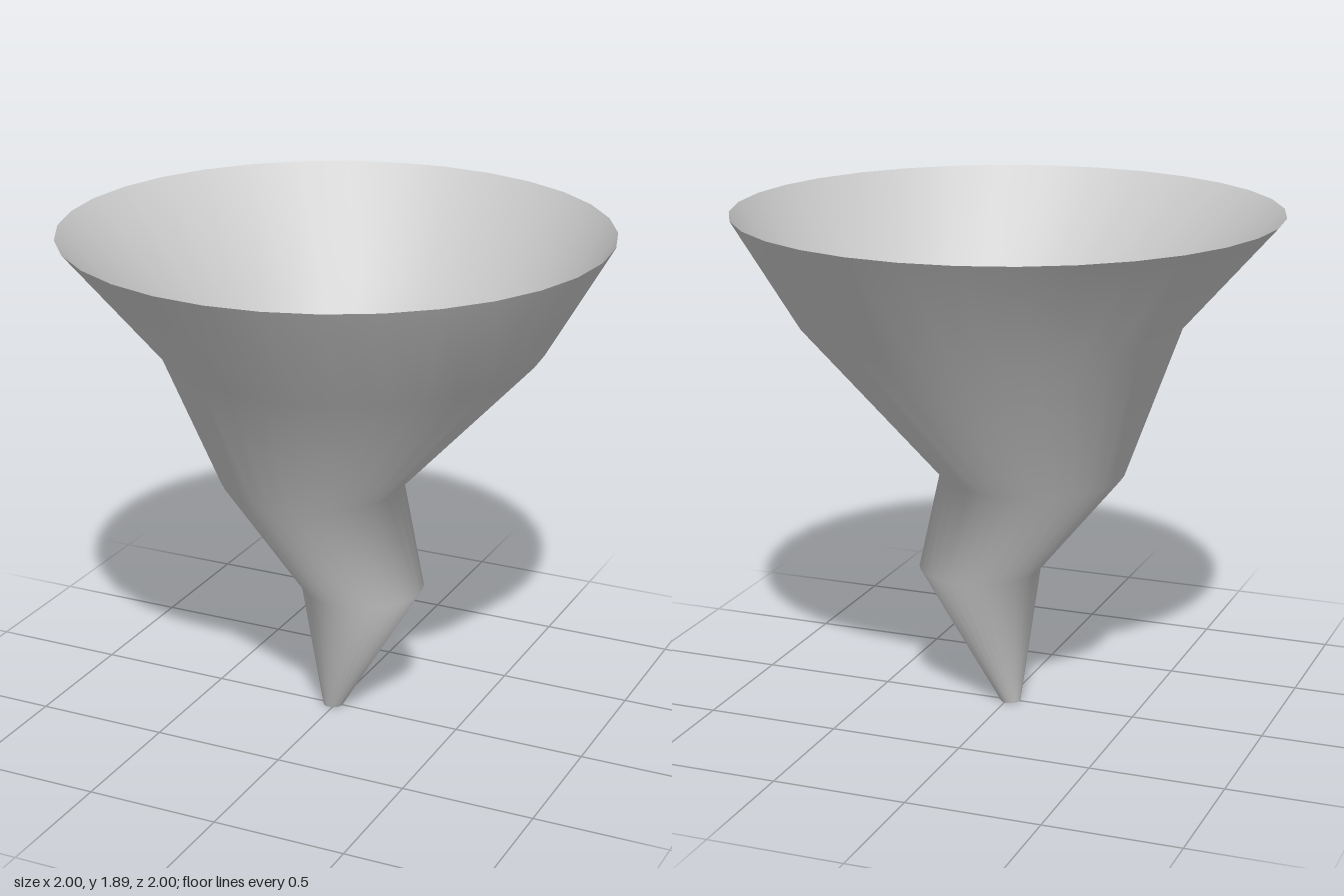
import * as THREE from 'three';
import { mergeVertices } from 'three/addons/utils/BufferGeometryUtils.js';

// Cross-sections from tip to rim: height, radius, sideways offset
const RINGS = [
  [0, 0.038, -0.012],
  [0.53, 0.23, 0.11],
  [0.92, 0.342, -0.098],
  [1.48, 0.702, 0.063],
  [1.89, 1, 0],
];
const SIDES = 32;

export function createModel() {
  const group = new THREE.Group();
  group.name = 'twister';

  // Open funnel: a lathe whose rings are shifted sideways to make it sway
  const lathe = new THREE.LatheGeometry(RINGS.map(([y, r]) => new THREE.Vector2(r, y)), SIDES);
  const pos = lathe.attributes.position;
  for (let i = 0; i < pos.count; i++) {
    pos.setX(i, pos.getX(i) + RINGS[i % RINGS.length][2]);
  }

  // Weld the seam so the shading runs smoothly all round
  lathe.deleteAttribute('uv');
  lathe.deleteAttribute('normal');
  const geometry = mergeVertices(lathe, 1e-4);
  geometry.computeVertexNormals();

  const funnel = new THREE.Mesh(
    geometry,
    new THREE.MeshStandardMaterial({ color: 0xcccccc, side: THREE.DoubleSide })
  );
  funnel.name = 'funnel';
  group.add(funnel);
  return group;
}
